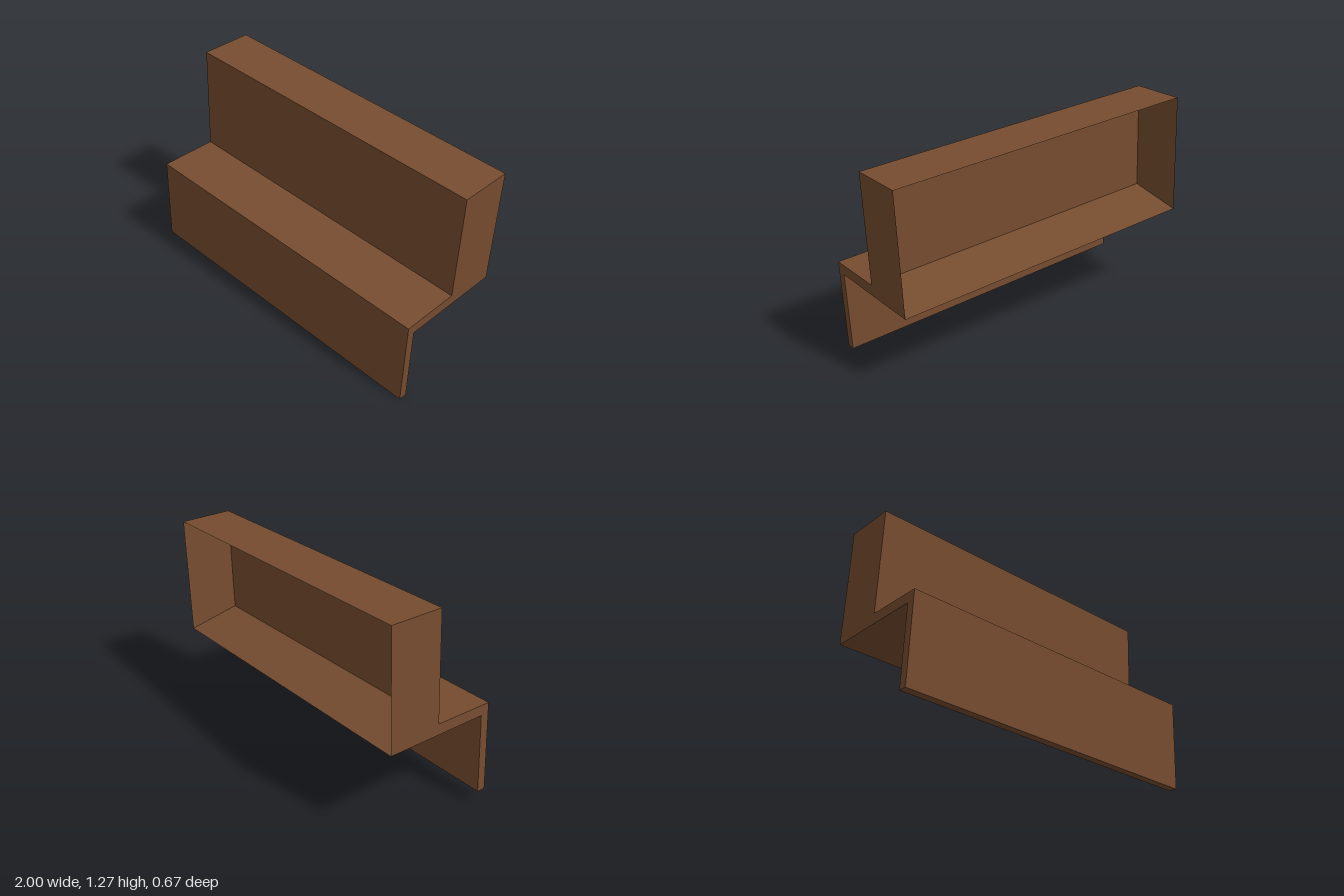
import * as THREE from 'three';

const W = 1.949, H = 1.1865, TILT = 0.0445;
const FRONT = -0.018, BACK = -0.335, LEDGE = 0.541, BASE = 0.474;

const shapeOf = (points) => new THREE.Shape(points.map(([z, y]) => new THREE.Vector2(z, y)));

export function createModel() {
  const wood = new THREE.MeshStandardMaterial({ color: 0x764c2f, side: THREE.DoubleSide });
  wood.name = 'brown wood';

  const model = new THREE.Group();
  model.name = 'steppedShelf';

  // Everything is built upright about the centre, then leans slightly to one side
  const body = new THREE.Group();
  body.name = 'tiltedBody';
  body.position.y = 0.636;
  body.rotation.z = -TILT;
  model.add(body);

  const add = (name, geometry) => {
    const mesh = new THREE.Mesh(geometry, wood);
    mesh.name = name;
    body.add(mesh);
    return mesh;
  };

  // Ledge with front board; the ledge tapers to a thin edge at the back
  const ledge = new THREE.ExtrudeGeometry(shapeOf([
    [0.335, 0], [0.335, LEDGE], [FRONT, LEDGE], [BACK, BASE], [0.285, 0.479], [0.285, 0],
  ]), { depth: W, bevelEnabled: false });
  ledge.rotateY(-Math.PI / 2).translate(W / 2, -H / 2, 0);
  add('ledgeAndFrontBoard', ledge);

  // Upright panel behind the ledge
  const panel = new THREE.PlaneGeometry(W, H - LEDGE);
  panel.translate(0, LEDGE / 2, FRONT);
  add('uprightPanel', panel);

  // Top sheet
  const top = new THREE.PlaneGeometry(W, FRONT - BACK);
  top.rotateX(-Math.PI / 2).translate(0, H / 2, (FRONT + BACK) / 2);
  add('topSheet', top);

  // End walls of the box, which stays open at the back
  for (const side of [-1, 1]) {
    const end = new THREE.ShapeGeometry(shapeOf([
      [FRONT, LEDGE], [FRONT, H], [BACK, H], [BACK, BASE],
    ]));
    end.rotateY(-Math.PI / 2).translate(side * W / 2, -H / 2, 0);
    add(side > 0 ? 'leftEndWall' : 'rightEndWall', end);
  }

  return model;
}
